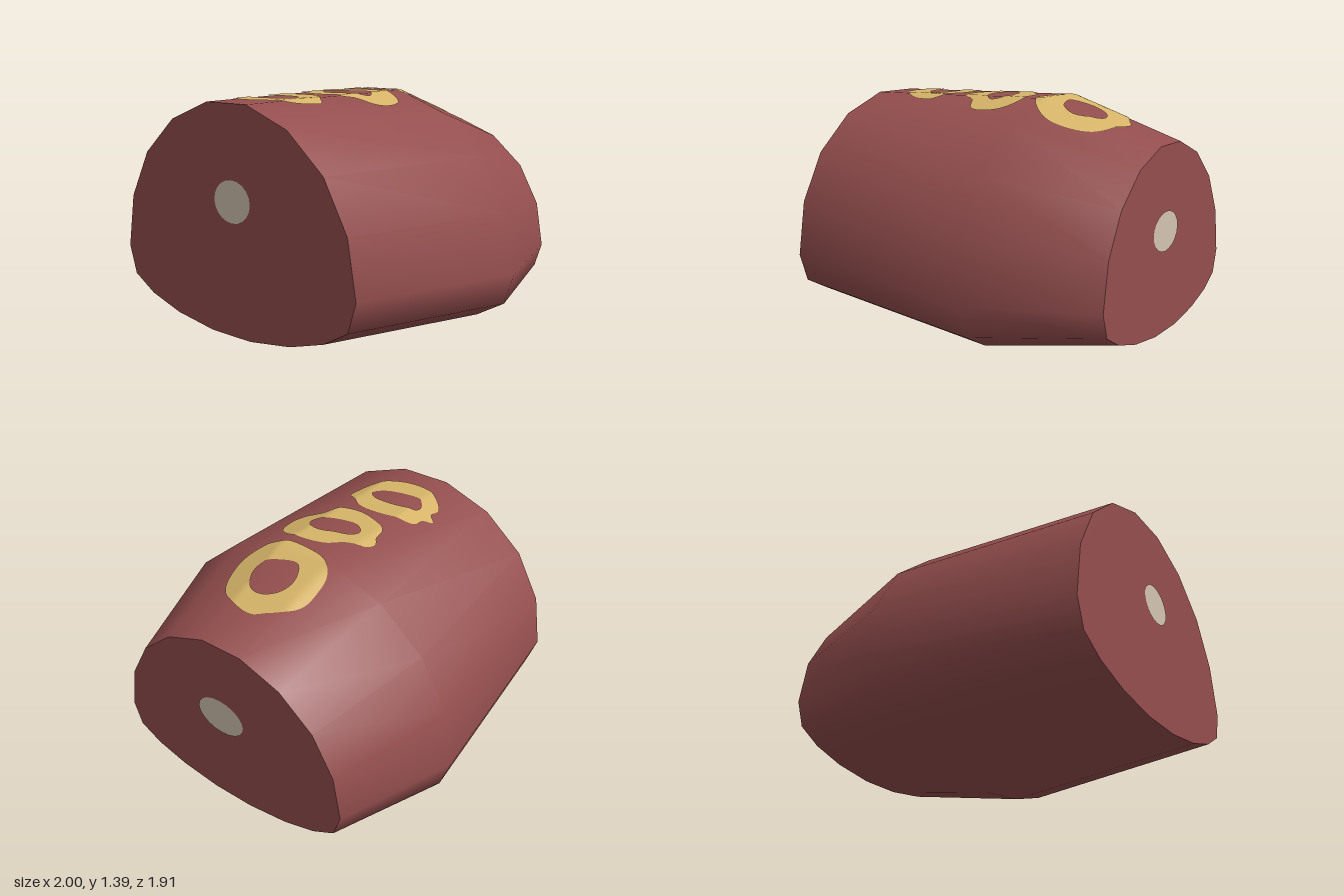
import * as THREE from 'three';

// Right half of the widest cross-section, bottom to top
const HALF = [[0.17, 0], [0.5, 0.045], [0.76, 0.12], [0.94, 0.22], [1, 0.4], [0.94, 0.74], [0.77, 1.04], [0.5, 1.265], [0.17, 1.385]];
const LOOP = [...HALF, ...HALF.map(([x, y]) => [-x, y]).reverse()];
// Sections front to back: z, scale, lift
const SECTIONS = [[0.95, 0.9, 0.12], [-0.255, 1, 0], [-0.95, 0.76, 0.11]];

// Painted loops on the top, as outer and inner outlines in x, z
const RINGS = [
  {
    outer: [[0, -0.71], [0.14, -0.69], [0.27, -0.61], [0.33, -0.48], [0.33, -0.36], [0.25, -0.25], [0.15, -0.2], [0.04, -0.2], [-0.1, -0.23], [-0.2, -0.32], [-0.22, -0.43], [-0.21, -0.54], [-0.15, -0.62], [-0.07, -0.67]],
    inner: [[0.04, -0.58], [0.12, -0.57], [0.19, -0.46], [0.17, -0.39], [0.1, -0.35], [0, -0.33], [-0.04, -0.36], [-0.07, -0.45], [-0.04, -0.53]],
  },
  {
    outer: [[0.08, -0.13], [0.2, -0.13], [0.32, -0.06], [0.35, 0.07], [0.32, 0.14], [0.22, 0.2], [0.18, 0.27], [0.05, 0.31], [-0.08, 0.28], [-0.18, 0.22], [-0.2, 0.13], [-0.23, 0.08], [-0.2, 0.01], [-0.1, -0.03], [-0.02, -0.1]],
    inner: [[0.1, 0], [0.17, 0.01], [0.21, 0.07], [0.17, 0.12], [0.04, 0.17], [-0.04, 0.17], [-0.1, 0.11], [-0.07, 0.06], [0.02, 0.03]],
  },
  {
    outer: [[-0.02, 0.36], [0.09, 0.37], [0.17, 0.43], [0.24, 0.49], [0.23, 0.58], [0.2, 0.66], [0.13, 0.74], [0.02, 0.79], [-0.1, 0.79], [-0.2, 0.75], [-0.28, 0.66], [-0.27, 0.59], [-0.32, 0.54], [-0.27, 0.5], [-0.26, 0.43], [-0.15, 0.38]],
    inner: [[-0.02, 0.5], [0.08, 0.51], [0.12, 0.55], [0.08, 0.61], [-0.04, 0.65], [-0.15, 0.65], [-0.2, 0.59], [-0.19, 0.54], [-0.1, 0.51]],
  },
];

function material(name, color) {
  const m = new THREE.MeshStandardMaterial({ color });
  m.name = name;
  return m;
}

function indexed(positions, index) {
  const g = new THREE.BufferGeometry();
  g.setAttribute('position', new THREE.Float32BufferAttribute(positions, 3));
  g.setIndex(index);
  g.computeVertexNormals();
  return g;
}

// Height of the upper surface at x, z
function topHeight(x, z) {
  const [a, b] = z > SECTIONS[1][0] ? [SECTIONS[0], SECTIONS[1]] : [SECTIONS[1], SECTIONS[2]];
  const t = (z - a[0]) / (b[0] - a[0]);
  const s = THREE.MathUtils.lerp(a[1], b[1], t);
  const lift = THREE.MathUtils.lerp(a[2], b[2], t);
  const [p, q] = [HALF[8], HALF[7]];
  const k = Math.max(0, (Math.abs(x) / s - p[0]) / (q[0] - p[0]));
  return lift + s * THREE.MathUtils.lerp(p[1], q[1], k);
}

// Smooth side wall lofted through the sections
function wallGeometry() {
  const n = LOOP.length, positions = [], index = [];
  for (const [z, s, lift] of SECTIONS) for (const [x, y] of LOOP) positions.push(x * s, y * s + lift, z);
  for (let r = 0; r < SECTIONS.length - 1; r++) {
    for (let i = 0; i < n; i++) {
      const a = r * n + i, b = r * n + (i + 1) % n;
      index.push(a, a + n, b, b, a + n, b + n);
    }
  }
  return indexed(positions, index);
}

// Band between two closed outlines, draped over the top
function ringGeometry({ outer, inner }) {
  const around = 72, across = 6, positions = [], index = [];
  const curve = pts => new THREE.CatmullRomCurve3(pts.map(([x, z]) => new THREE.Vector3(x, 0, z)), true);
  const co = curve(outer), ci = curve(inner);
  for (let i = 0; i < around; i++) {
    const o = co.getPointAt(i / around), n = ci.getPointAt(i / around);
    for (let j = 0; j <= across; j++) {
      const p = o.clone().lerp(n, j / across);
      positions.push(p.x, topHeight(p.x, p.z) + 0.006, p.z);
    }
  }
  for (let i = 0; i < around; i++) {
    for (let j = 0; j < across; j++) {
      const a = i * (across + 1) + j, b = ((i + 1) % around) * (across + 1) + j;
      index.push(a, a + 1, b, b, a + 1, b + 1);
    }
  }
  return indexed(positions, index);
}

export function createModel() {
  const model = new THREE.Group();
  const skin = material('brownRed', 0x944e4e);
  const paint = material('mustardYellow', 0xd6b468);
  const bone = material('paleBone', 0xd4c4b2);
  const add = (name, geometry, mat) => {
    const mesh = new THREE.Mesh(geometry, mat);
    mesh.name = name;
    model.add(mesh);
    return mesh;
  };

  add('bodyWall', wallGeometry(), skin);

  // Flat cut ends with a pale round core
  const cap = new THREE.ShapeGeometry(new THREE.Shape(LOOP.map(([x, y]) => new THREE.Vector2(x, y))));
  const disc = new THREE.CircleGeometry(1, 20);
  const ends = [
    { name: 'front', section: SECTIONS[0], turn: 0, core: [0.035, 0.855, 0.14, 0.115] },
    { name: 'back', section: SECTIONS[2], turn: Math.PI, core: [0.04, 0.69, 0.16, 0.112] },
  ];
  for (const { name, section: [z, s, lift], turn, core: [cx, cy, rx, ry] } of ends) {
    const end = add(name + 'End', cap, skin);
    end.position.set(0, lift, z);
    end.scale.set(s, s, 1);
    end.rotation.y = turn;
    const core = add(name + 'Core', disc, bone);
    core.position.set(cx, cy, z + Math.sign(z) * 0.004);
    core.scale.set(rx, ry, 1);
    core.rotation.y = turn;
  }

  // Painted loops along the top
  RINGS.forEach((ring, i) => add('topRing' + (i + 1), ringGeometry(ring), paint));
  return model;
}
